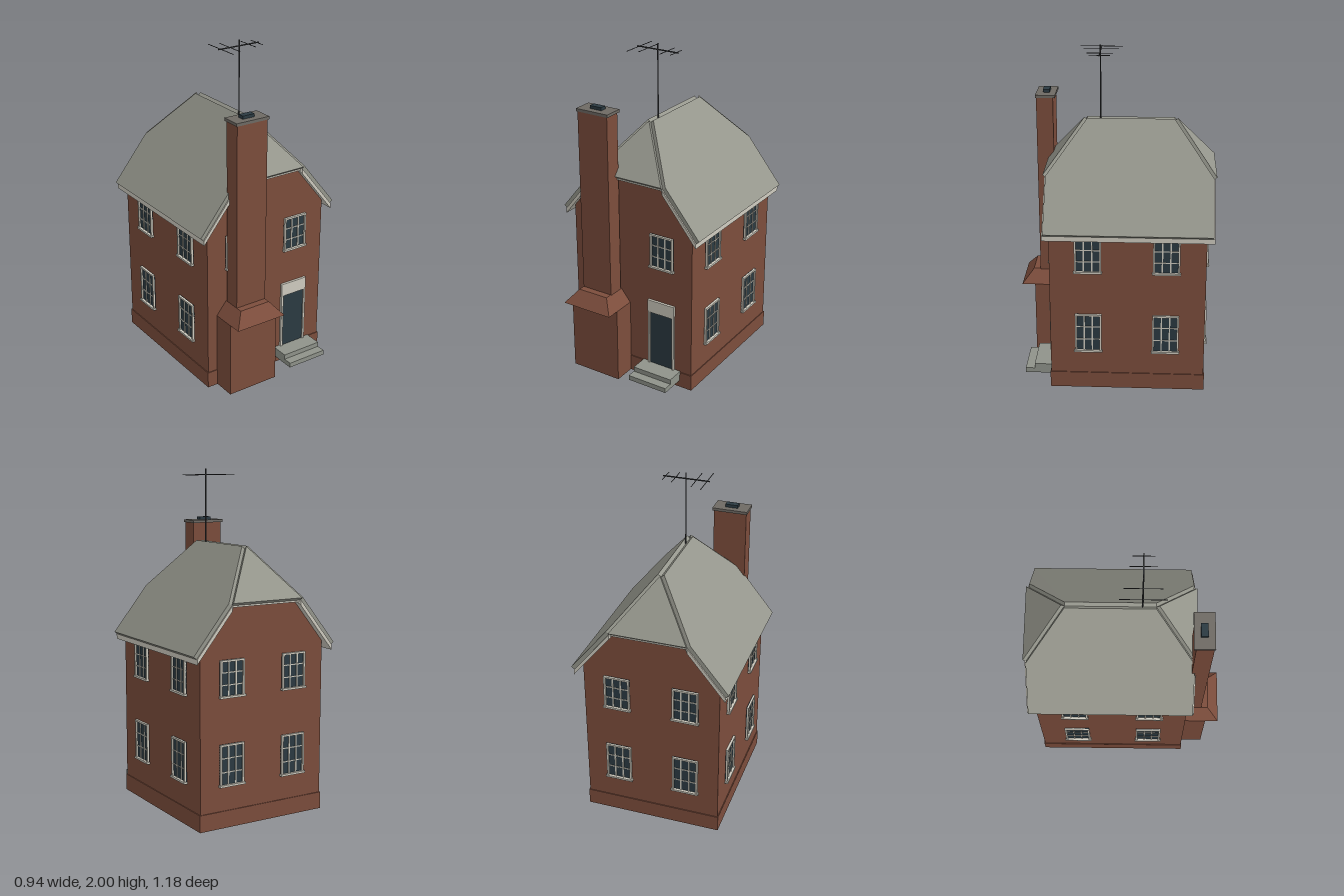
import * as THREE from 'three';

const mat = (name, color) => {
  const m = new THREE.MeshStandardMaterial({ color });
  m.name = name;
  return m;
};

export function createModel() {
  const house = new THREE.Group();
  house.name = 'house';
  const brick = mat('brick', 0x7c4d3c);
  const slate = mat('slate', 0x96978d);
  const cream = mat('creamPaint', 0xcfccc0);
  const stone = mat('stepStone', 0x8f938a);
  const capStone = mat('capStone', 0x6e6a64);
  const glass = mat('darkGlass', 0x2b3a42);
  const metal = mat('darkMetal', 0x3c3e40);

  const add = (name, geo, material, parent = house) => {
    const m = new THREE.Mesh(geo, material);
    m.name = name;
    parent.add(m);
    return m;
  };
  // Box given by its limits on each axis
  const box = (name, material, [x0, x1], [y0, y1], [z0, z1], parent) => {
    const m = add(name, new THREE.BoxGeometry(x1 - x0, y1 - y0, z1 - z0), material, parent);
    m.position.set((x0 + x1) / 2, (y0 + y1) / 2, (z0 + z1) / 2);
    return m;
  };
  // Solid between two matching convex polygons
  const loft = (bottom, top) => {
    let a = bottom.map((p) => new THREE.Vector3(...p));
    let b = top.map((p) => new THREE.Vector3(...p));
    const n = a.length;
    const normal = new THREE.Vector3().crossVectors(a[1].clone().sub(a[0]), a[2].clone().sub(a[0]));
    if (normal.dot(b[0].clone().sub(a[0])) < 0) { a.reverse(); b.reverse(); }
    const tris = [];
    for (let i = 1; i < n - 1; i++) tris.push(b[0], b[i], b[i + 1], a[0], a[i + 1], a[i]);
    for (let i = 0; i < n; i++) {
      const j = (i + 1) % n;
      tris.push(a[i], a[j], b[j], a[i], b[j], b[i]);
    }
    const g = new THREE.BufferGeometry().setFromPoints(tris);
    g.computeVertexNormals();
    return g;
  };
  const slab = (pts, d) => loft(pts, pts.map((p) => p.map((v, k) => v + d[k])));

  // Walls with clipped gables, on a slightly wider plinth
  const outline = [[-0.41, 0], [0.41, 0], [0.41, 1.035], [0.215, 1.28], [-0.215, 1.28], [-0.41, 1.035]];
  add('walls', slab(outline.map(([x, y]) => [x, y, -0.54]), [0, 0, 0.91]), brick);
  box('plinth', brick, [-0.415, 0.415], [0, 0.1], [-0.545, 0.375]);

  // Half-hipped roof: slates laid outward from the inner planes, painted boards below
  const ridgeY = 1.555, eaveX = 0.452, eaveY = 0.995, hipX = 0.229, hipY = 1.271;
  const zr = [0.168, -0.345], ze = [0.397, -0.574];
  const nx = 0.0183, ny = 0.0148;
  for (const s of [-1, 1]) {
    const side = (e) => [
      [s * eaveX, eaveY, ze[0] + e], [s * hipX, hipY, ze[0] + e], [0, ridgeY, zr[0]],
      [0, ridgeY, zr[1]], [s * hipX, hipY, ze[1] - e], [s * eaveX, eaveY, ze[1] - e],
    ];
    const label = s > 0 ? 'left' : 'right';
    add(label + 'RoofSlope', slab(side(0), [s * nx, ny, 0]), slate);
    add(label + 'RoofBoards', slab(side(0.008), [0, -0.03, 0]), cream);
  }
  [1, -1].forEach((s, i) => {
    const tri = [[-hipX, hipY, ze[i]], [hipX, hipY, ze[i]], [0, ridgeY, zr[i]]];
    const label = s > 0 ? 'front' : 'back';
    add(label + 'RoofHip', slab(tri, [0, ny, s * nx]), slate);
    add(label + 'HipBoard', slab(tri, [0, -0.01, 0]), cream);
  });

  // Window facing +z, centred on its own x, standing on its own y = 0
  const makeWindow = (h) => {
    const g = new THREE.Group();
    g.name = 'window';
    const w = 0.078, f = 0.011;
    box('glass', glass, [-w, w], [0, h], [0, 0.004], g);
    for (const s of [-1, 1]) {
      const x = s * (w - f / 2);
      box('frameSide', cream, [x - f / 2, x + f / 2], [0, h], [0, 0.014], g);
      box('uprightBar', cream, [s * 0.024 - 0.004, s * 0.024 + 0.004], [0, h], [0, 0.009], g);
    }
    box('frameTop', cream, [-w, w], [h - f, h], [0, 0.014], g);
    box('sill', cream, [-w - 0.006, w + 0.006], [-0.002, 0.01], [0, 0.02], g);
    for (const k of [1, 2]) {
      const y = (h * k) / 3;
      box('crossBar', cream, [-w, w], [y - 0.003, y + 0.003], [0, 0.008], g);
    }
    return g;
  };
  const place = (x, y, z, turn, h) => {
    const g = makeWindow(h);
    g.position.set(x, y, z);
    g.rotation.y = turn;
    house.add(g);
  };
  for (const [y, h] of [[0.245, 0.243], [0.755, 0.213]]) {
    for (const s of [-1, 1]) {
      for (const z of [0.145, -0.31]) place(s * 0.41, y, z, (s * Math.PI) / 2, h);
      place(s * 0.207, y, -0.54, Math.PI, h);
      if (y > 0.5) place(s * 0.207, y, 0.37, 0, h);
    }
  }

  // Front door, surround and two steps
  box('doorSurroundTop', cream, [0.115, 0.295], [0.455, 0.535], [0.36, 0.385]);
  box('doorPostRight', cream, [0.115, 0.128], [0.1, 0.455], [0.36, 0.385]);
  box('doorPostLeft', cream, [0.282, 0.295], [0.1, 0.455], [0.36, 0.385]);
  box('door', glass, [0.128, 0.282], [0.1, 0.455], [0.36, 0.377]);
  box('upperStep', stone, [0.075, 0.335], [0.075, 0.105], [0.37, 0.48]);
  box('lowerStep', stone, [0.075, 0.335], [0.045, 0.075], [0.37, 0.535]);

  // Chimney: broad base, sloping shoulder, stack, cap and pot
  box('chimneyBase', brick, [-0.348, -0.02], [0, 0.47], [0.37, 0.51]);
  const ring = (x0, x1, z1, y) => [[x0, y, 0.372], [x1, y, 0.372], [x1, y, z1], [x0, y, z1]];
  add('chimneyShoulder', loft(ring(-0.348, -0.02, 0.59, 0.47), ring(-0.283, -0.085, 0.522, 0.55)), brick);
  box('chimneyStack', brick, [-0.283, -0.082], [0.54, 1.662], [0.38, 0.48]);
  box('chimneyCap', capStone, [-0.29, -0.075], [1.66, 1.677], [0.367, 0.485]);
  box('chimneyPot', glass, [-0.222, -0.145], [1.677, 1.695], [0.405, 0.445]);

  // Aerial on the ridge
  const aerial = new THREE.Group();
  aerial.name = 'aerial';
  aerial.position.z = 0.09;
  house.add(aerial);
  const mast = add('mast', new THREE.CylinderGeometry(0.004, 0.004, 0.48, 8), metal, aerial);
  mast.position.y = 1.76;
  box('boom', metal, [-0.14, 0.137], [1.962, 1.968], [-0.003, 0.003], aerial);
  for (const [x, r] of [[-0.125, 0.125], [-0.063, 0.103], [0.062, 0.075], [0.122, 0.06]]) {
    box('crossRod', metal, [x - 0.0015, x + 0.0015], [1.9635, 1.9665], [-r, r], aerial);
  }
  return house;
}
